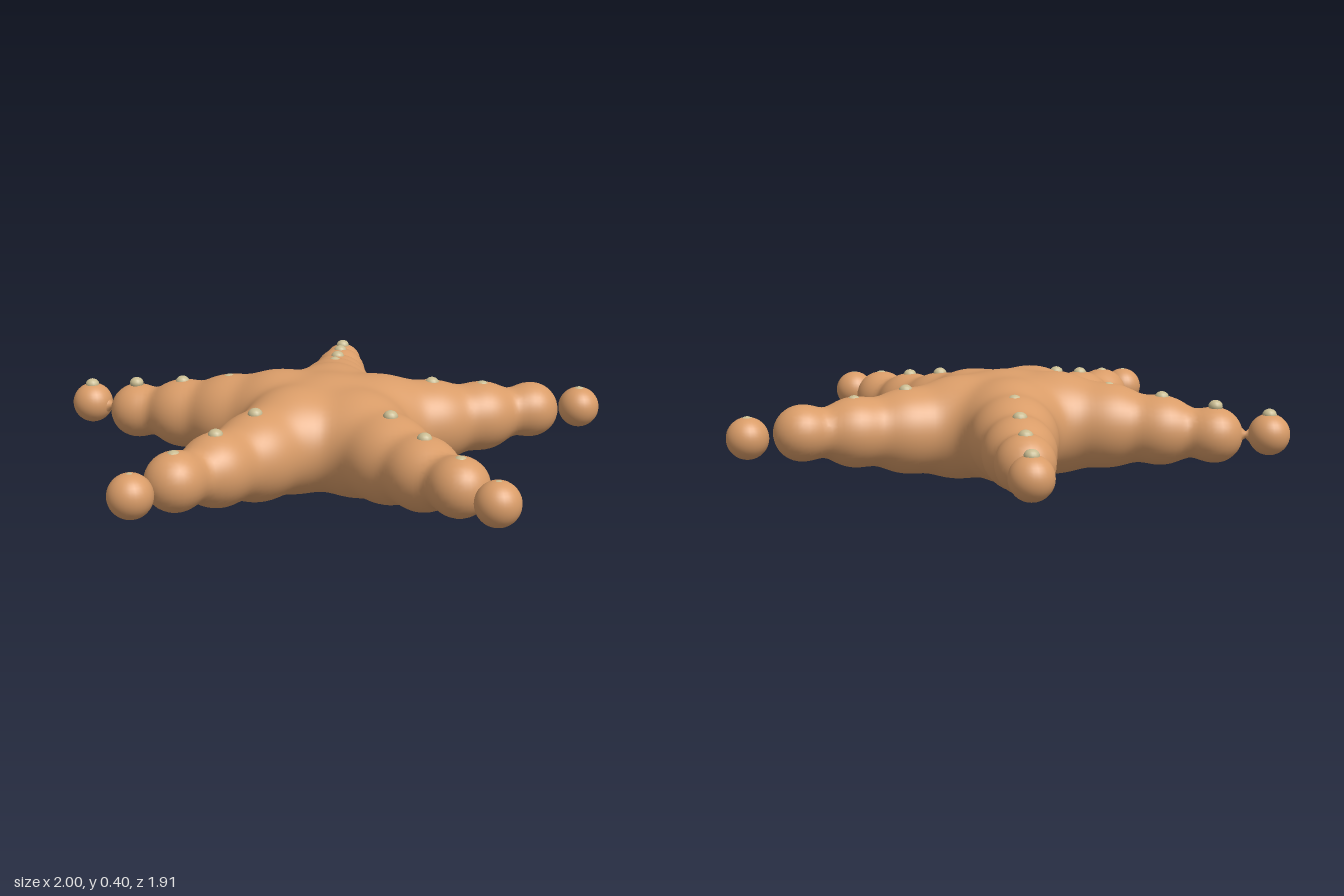
import * as THREE from 'three';

const CENTRE_Z = 0.093;
const SPACING = [0.195, 0.39, 0.585, 0.78, 0.973]; // distance of each lobe along an arm
const RADII = [0.185, 0.152, 0.125, 0.1, 0.075];
// Lobe heights of each arm, clockwise from the back arm
const ARMS = [
  { name: 'back', y: [0.205, 0.208, 0.2, 0.204, 0.2], link: true },
  { name: 'left', y: [0.2, 0.2, 0.21, 0.22, 0.215] },
  { name: 'frontLeft', y: [0.197, 0.195, 0.2, 0.213, 0.217] },
  { name: 'frontRight', y: [0.207, 0.195, 0.2, 0.212, 0.217] },
  { name: 'right', y: [0.213, 0.21, 0.2, 0.19, 0.2], link: true },
];

const along = (arm, d, y) => {
  const a = arm * Math.PI * 2 / 5;
  return new THREE.Vector3(Math.sin(a) * d, y, CENTRE_Z - Math.cos(a) * d);
};

// Lobes that melt together into the body; the arm tips stay separate
const lobes = [{ p: new THREE.Vector3(0, 0.207, CENTRE_Z), r: 0.19 }];
ARMS.forEach((arm, i) => {
  for (let j = 0; j < 4; j++) lobes.push({ p: along(i, SPACING[j], arm.y[j]), r: RADII[j] });
});

// Smooth union of all lobes: negative inside, positive outside
const BLEND = 0.03;
function field(x, y, z) {
  let sum = 1e-30;
  for (const { p, r } of lobes) {
    sum += Math.exp((r - Math.hypot(x - p.x, y - p.y, z - p.z)) / BLEND);
  }
  return -BLEND * Math.log(sum);
}

function gradient([x, y, z]) {
  const e = 0.001;
  return [
    (field(x + e, y, z) - field(x - e, y, z)) / (2 * e),
    (field(x, y + e, z) - field(x, y - e, z)) / (2 * e),
    (field(x, y, z + e) - field(x, y, z - e)) / (2 * e),
  ];
}

// Skin the field: one vertex per crossed cell, one quad per crossed grid edge
function blendedSkin() {
  const step = 0.02, min = [-1, -0.04, -1], n = [101, 25, 101];
  const stride = [1, n[0], n[0] * n[1]];
  const total = n[0] * n[1] * n[2];
  const values = new Float32Array(total);
  const at = (i, j, k) => i + j * stride[1] + k * stride[2];
  const world = (c) => c.map((v, a) => min[a] + v * step);
  const eachCell = (fn) => {
    for (let k = 1; k < n[2] - 1; k++)
      for (let j = 1; j < n[1] - 1; j++)
        for (let i = 1; i < n[0] - 1; i++) fn(i, j, k, at(i, j, k));
  };
  values.fill(1);
  eachCell((i, j, k, id) => { values[id] = field(...world([i, j, k])); });

  const positions = [], normals = [], indices = [];
  const vertexOf = new Map();
  const vertex = (id) => {
    if (vertexOf.has(id)) return vertexOf.get(id);
    const c = [id % n[0], Math.floor(id / n[0]) % n[1], Math.floor(id / stride[2])];
    let p = world(c.map((v) => v + 0.5));
    let g = gradient(p);
    for (let s = 0; s < 3; s++) {
      const f = field(...p), len = g[0] ** 2 + g[1] ** 2 + g[2] ** 2 + 1e-6;
      p = p.map((v, a) => v - g[a] * f / len);
      g = gradient(p);
    }
    const l = Math.hypot(...g) || 1;
    positions.push(...p);
    normals.push(...g.map((v) => v / l));
    vertexOf.set(id, positions.length / 3 - 1);
    return positions.length / 3 - 1;
  };
  eachCell((i, j, k, id) => {
    for (let a = 0; a < 3; a++) {
      const inside = values[id] < 0;
      if (inside === values[id + stride[a]] < 0) continue;
      const b = stride[(a + 1) % 3], c = stride[(a + 2) % 3];
      const q = [id - b - c, id - c, id, id - b].map(vertex);
      if (!inside) q.reverse();
      indices.push(q[0], q[1], q[2], q[0], q[2], q[3]);
    }
  });
  const geometry = new THREE.BufferGeometry();
  geometry.setAttribute('position', new THREE.Float32BufferAttribute(positions, 3));
  geometry.setAttribute('normal', new THREE.Float32BufferAttribute(normals, 3));
  geometry.setIndex(indices);
  return geometry;
}

export function createModel() {
  const skin = new THREE.MeshStandardMaterial({ color: 0xd99c68 });
  skin.name = 'sandy orange';
  const pale = new THREE.MeshStandardMaterial({ color: 0xc9bc92 });
  pale.name = 'pale khaki';

  const model = new THREE.Group();
  model.name = 'starfish';
  const add = (name, geometry, material, position) => {
    const mesh = new THREE.Mesh(geometry, material);
    mesh.name = name;
    if (position) mesh.position.copy(position);
    model.add(mesh);
    return mesh;
  };

  add('body', blendedSkin(), skin);

  const tip = new THREE.SphereGeometry(RADII[4], 28, 20);
  const bump = new THREE.SphereGeometry(0.026, 16, 10).scale(1, 0.85, 1);
  // Thin waist joining a tip to its arm
  const waist = new THREE.LatheGeometry(
    [[0.05, -0.032], [0.026, -0.015], [0.012, 0], [0.026, 0.016], [0.045, 0.035]]
      .map(([r, y]) => new THREE.Vector2(r, y)), 20);

  ARMS.forEach((arm, i) => {
    add(arm.name + 'Tip', tip, skin, along(i, SPACING[4], arm.y[4]));
    // Row of bumps on top of the arm
    for (let j = 1; j < 5; j++) {
      add(arm.name + 'Bump' + j, bump, pale, along(i, SPACING[j], 0.196 + RADII[j]));
    }
    if (arm.link) {
      const mesh = add(arm.name + 'Waist', waist, skin, along(i, 0.889, (arm.y[3] + arm.y[4]) / 2));
      const dir = along(i, 1, 0).sub(along(i, 0, 0));
      mesh.quaternion.setFromUnitVectors(new THREE.Vector3(0, 1, 0), dir);
    }
  });
  return model;
}
